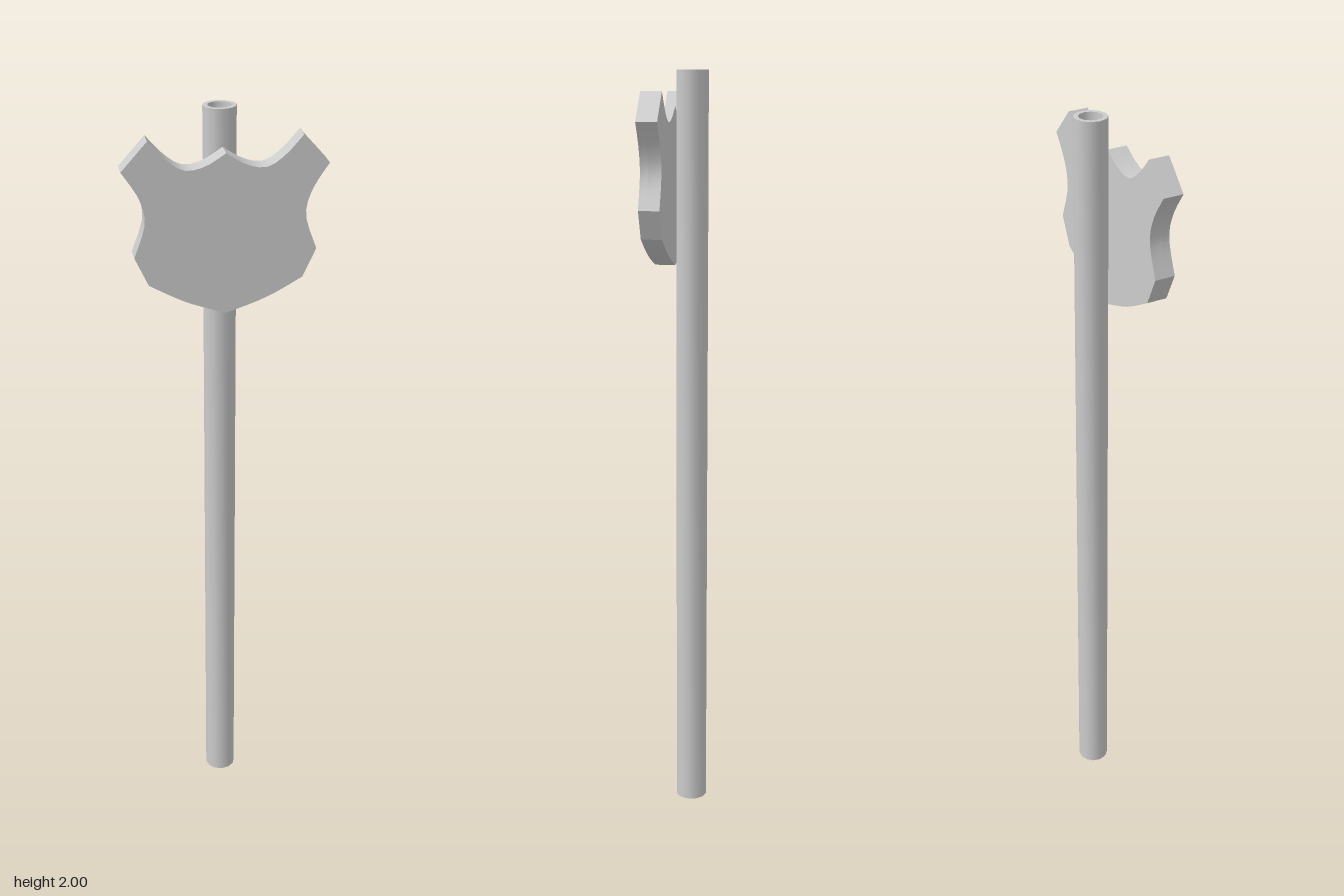
import * as THREE from 'three';
import { toCreasedNormals } from 'three/addons/utils/BufferGeometryUtils.js';

const material = new THREE.MeshStandardMaterial({ color: 0xcccccc });

function part(name, geometry, z) {
  const mesh = new THREE.Mesh(toCreasedNormals(geometry, 0.6), material);
  mesh.name = name;
  mesh.position.z = z;
  return mesh;
}

// Symmetric closed outline from smooth runs along the +x half, top centre to bottom tip
function mirroredOutline(runs) {
  const half = [];
  for (const run of runs) {
    const curve = new THREE.SplineCurve(run.map(([x, y]) => new THREE.Vector2(x, y)));
    const pts = curve.getPoints(run.length > 2 ? 10 : 1);
    half.push(...(half.length ? pts.slice(1) : pts));
  }
  const mirrored = half.slice(1, -1).reverse().map((p) => new THREE.Vector2(-p.x, p.y));
  return [...half, ...mirrored];
}

const extrude = (shape, depth) =>
  new THREE.ExtrudeGeometry(shape, { depth, bevelEnabled: false });

export function createModel() {
  const model = new THREE.Group();
  model.name = 'signPost';

  // Hollow pole
  const outerR = 0.042, innerR = 0.03;
  const wall = [[innerR, 0], [outerR, 0], [outerR, 2], [innerR, 2], [innerR, 0]];
  const tube = new THREE.LatheGeometry(wall.map(([x, y]) => new THREE.Vector2(x, y)), 12);
  model.add(part('pole', tube, -0.029));

  // Shield outline and the inner edge of its rim
  const outer = mirroredOutline([
    [[0, 1.91], [0.05, 1.88], [0.1, 1.872], [0.145, 1.9], [0.188, 1.947]],
    [[0.188, 1.947], [0.253, 1.875]],
    [[0.253, 1.875], [0.212, 1.81], [0.198, 1.745], [0.226, 1.66]],
    [[0.226, 1.66], [0.192, 1.587]],
    [[0.192, 1.587], [0.1, 1.538], [0, 1.503]],
  ]);
  const inner = mirroredOutline([
    [[0, 1.893], [0.05, 1.865], [0.1, 1.857], [0.145, 1.878], [0.19, 1.92]],
    [[0.19, 1.92], [0.228, 1.873]],
    [[0.228, 1.873], [0.194, 1.81], [0.18, 1.745], [0.207, 1.662]],
    [[0.207, 1.662], [0.177, 1.6]],
    [[0.177, 1.6], [0.095, 1.557], [0, 1.523]],
  ]);

  // Back panel with a raised rim in front
  const shield = new THREE.Group();
  shield.name = 'shieldSign';
  const rim = new THREE.Shape(outer);
  rim.holes.push(new THREE.Path(inner));
  shield.add(part('shieldPanel', extrude(new THREE.Shape(outer), 0.034), 0.016));
  shield.add(part('shieldRim', extrude(rim, 0.02), 0.05));
  model.add(shield);

  return model;
}
